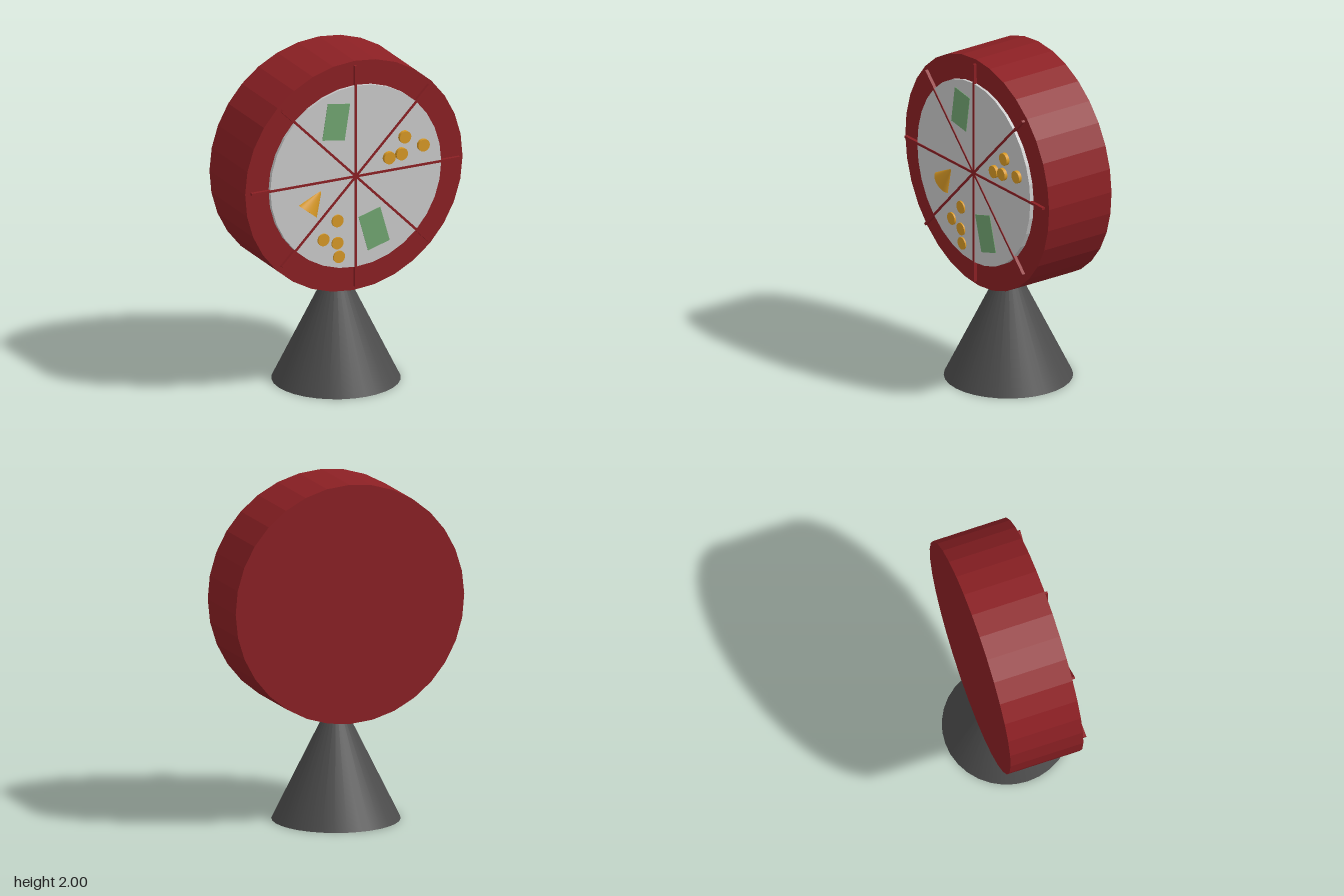
import * as THREE from 'three';

const RED = 0x8c2024, GOLD = 0xd99a26, GREEN = 0x72a672, DARK = 0x4c4c4c, GREY = 0xcccccc;
const HUB_Y = 1.3;
const TILT = 0.0143;

export function createModel() {
  const model = new THREE.Group();
  const material = (color, flatShading = false) => new THREE.MeshStandardMaterial({ color, flatShading });

  function add(parent, name, geometry, mat, x = 0, y = 0, z = 0) {
    const mesh = new THREE.Mesh(geometry, mat);
    mesh.name = name;
    mesh.position.set(x, y, z);
    parent.add(mesh);
    return mesh;
  }

  // Conical stand, its tip hidden inside the drum
  add(model, 'stand', new THREE.ConeGeometry(0.37, 0.75, 32), material(DARK), 0, 0.375, 0);

  // Drum, leaning very slightly forward
  const drum = add(model, 'drum', new THREE.CylinderGeometry(0.7, 0.7, 0.44, 32).rotateX(Math.PI / 2),
    material(RED, true), 0, HUB_Y, 0);
  drum.rotation.x = TILT;

  // Pale dial on the front
  add(model, 'dial', new THREE.CylinderGeometry(0.55, 0.55, 0.06, 32).rotateX(Math.PI / 2),
    material(GREY, true), 0, HUB_Y, 0.214);

  // Four bars crossing at the hub make eight sectors
  const dividers = new THREE.Group();
  dividers.name = 'dividers';
  dividers.position.set(0, HUB_Y, 0.238);
  model.add(dividers);
  const barGeometry = new THREE.BoxGeometry(0.014, 1.34, 0.02);
  const red = material(RED);
  for (let i = 0; i < 4; i++) add(dividers, 'divider', barGeometry, red).rotation.z = i * Math.PI / 4;

  // Two clusters of coins: x, y, z
  const coinGeometry = new THREE.CylinderGeometry(0.037, 0.037, 0.025, 24).rotateX(Math.PI / 2);
  const gold = material(GOLD);
  const coins = [
    [0.31, 1.49, 0.252], [0.21, 1.38, 0.252], [0.29, 1.39, 0.251], [0.43, 1.42, 0.251],
    [-0.12, 1.05, 0.241], [-0.21, 0.95, 0.241], [-0.12, 0.915, 0.24], [-0.11, 0.83, 0.24],
  ];
  for (const [x, y, z] of coins) add(model, 'coin', coinGeometry, gold, x, y, z).rotation.x = TILT;

  // Flattened cone lying on the dial with its tip towards the hub
  const cone = add(model, 'cone', new THREE.ConeGeometry(0.073, 0.15, 32), gold, -0.264, 1.196, 0.241);
  cone.scale.z = 0.54;
  cone.rotation.z = -0.67;

  // Banknotes: x, y, turn
  const noteGeometry = new THREE.BoxGeometry(0.145, 0.22, 0.006);
  const green = material(GREEN);
  for (const [x, y, turn] of [[-0.127, 1.65, -0.16], [0.117, 0.963, 0.28]]) {
    add(model, 'banknote', noteGeometry, green, x, y, 0.244).rotation.z = turn;
  }

  return model;
}
